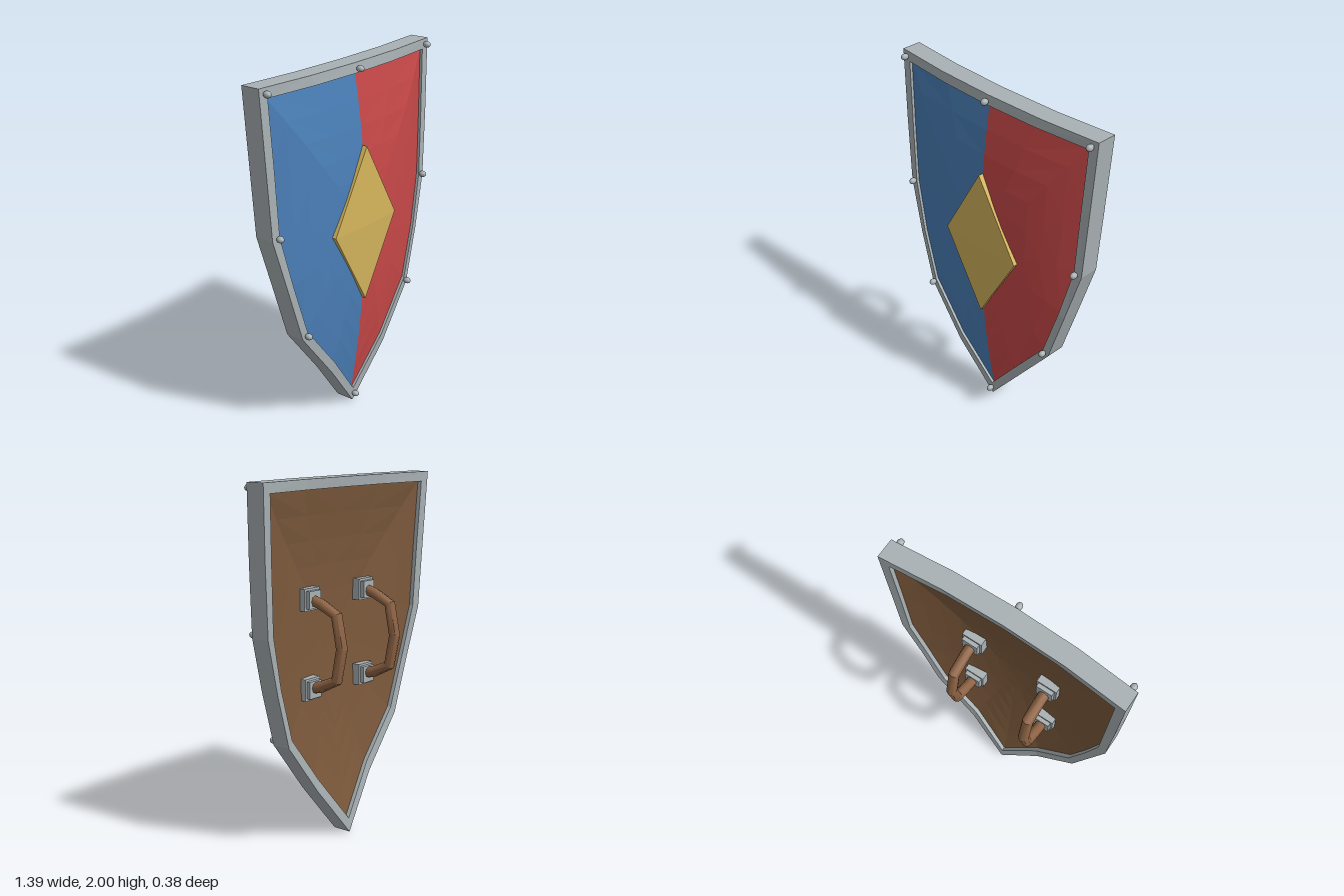
import * as THREE from 'three';
import { toCreasedNormals } from 'three/addons/utils/BufferGeometryUtils.js';

const mat = (name, color) => Object.assign(new THREE.MeshStandardMaterial({ color }), { name });

// Right half of the outline, top centre to tip: outer x, outer y, inner x, inner y, mid-depth z
const OUTLINE = [
  [0, 2, 0, 1.945, 0.045],
  [0.35, 2, 0.32, 1.945, 0.036],
  [0.695, 2, 0.64, 1.945, 0.006],
  [0.675, 1.6, 0.622, 1.58, 0.02],
  [0.652, 1.215, 0.605, 1.225, 0.03],
  [0.565, 0.91, 0.53, 0.93, 0.05],
  [0.47, 0.6, 0.437, 0.635, 0.061],
  [0.235, 0.3, 0.218, 0.36, 0.067],
  [0, 0, 0, 0.08, 0.028],
];
const HALF_DEPTH = 0.055;
const CENTRE_Y = 1.12;

// Flat-shaded skin over rows of points
function skin(rows, flip = false) {
  const pos = [];
  for (let i = 0; i + 1 < rows.length; i++) {
    for (let j = 0; j + 1 < rows[i].length; j++) {
      const a = rows[i][j], b = rows[i + 1][j], c = rows[i + 1][j + 1], d = rows[i][j + 1];
      const tris = flip ? [a, c, b, a, d, c] : [a, b, c, a, c, d];
      tris.forEach((p) => pos.push(...p));
    }
  }
  const geo = new THREE.BufferGeometry();
  geo.setAttribute('position', new THREE.Float32BufferAttribute(pos, 3));
  geo.computeVertexNormals();
  return geo;
}

// Domed half board spreading from the centre to the inner outline
function dome(side, edgeOffset, centreZ, facesBack) {
  const steps = 6;
  const rows = OUTLINE.map(([, , x, y, z]) => {
    const row = [];
    for (let k = 0; k <= steps; k++) {
      const t = k / steps, edge = z + edgeOffset;
      row.push([side * x * t, CENTRE_Y + (y - CENTRE_Y) * t, edge + (centreZ - edge) * (1 - t * t)]);
    }
    return row;
  });
  return skin(rows, (side < 0) !== facesBack);
}

// Polyline with mitred corners for the grips
class Polyline extends THREE.Curve {
  constructor(points) { super(); this.points = points; }
  getUtoTmapping(u) { return u; }
  getPoint(t, target = new THREE.Vector3()) {
    const n = this.points.length - 1, i = Math.min(Math.floor(t * n), n - 1);
    return target.lerpVectors(this.points[i], this.points[i + 1], t * n - i);
  }
}

export function createModel() {
  const model = new THREE.Group();
  model.name = 'shield';
  const steel = mat('steel grey', 0xa9b1b4);
  const blue = mat('blue paint', 0x4a7fb8);
  const red = mat('red paint', 0xc84848);
  const gold = mat('gold', 0xd4b45c);
  const wood = mat('brown wood', 0x7d5a3c);
  const leather = mat('brown leather', 0x8f6445);

  const add = (name, geo, material, x = 0, y = 0, z = 0, parent = model) => {
    const mesh = new THREE.Mesh(geo, material);
    mesh.name = name;
    mesh.position.set(x, y, z);
    parent.add(mesh);
    return mesh;
  };

  // Rim: rectangular section swept round the outline
  const section = (s) => ([ox, oy, ix, iy, z]) => {
    const h = HALF_DEPTH, zi = z + 0.006;
    const of = [s * ox, oy, z + h];
    return [of, [s * ox, oy, z - h], [s * ix, iy, zi - h], [s * ix, iy, zi + h], of];
  };
  const loop = [...OUTLINE.map(section(1)), ...OUTLINE.slice(0, -1).reverse().map(section(-1))];
  add('rim', skin(loop), steel);

  // Painted front halves and wooden back
  add('leftFrontPanel', dome(1, 0.045, 0.165, false), red);
  add('rightFrontPanel', dome(-1, 0.045, 0.165, false), blue);
  add('leftBackBoard', dome(1, -0.025, 0.1, true), wood);
  add('rightBackBoard', dome(-1, -0.025, 0.1, true), wood);

  // Diamond boss with a low pyramid face
  const profile = [[0, 0.135], [1, 0.135], [1, 0.172], [0, 0.187]].map((p) => new THREE.Vector2(...p));
  const diamond = new THREE.LatheGeometry(profile, 4);
  diamond.rotateX(Math.PI / 2);
  diamond.scale(0.26, 0.44, 1);
  add('diamondBoss', toCreasedNormals(diamond, 0.01), gold, 0, 1.125, 0);

  // Rivets
  const rivet = new THREE.SphereGeometry(0.018, 12, 8);
  rivet.scale(1, 1, 1.25);
  add('topRivet', rivet, steel, 0, 1.97, 0.125);
  add('tipRivet', rivet, steel, 0, 0.05, 0.105);
  for (const s of [1, -1]) {
    for (const [x, y, z] of [[0.66, 1.97, 0.083], [0.62, 1.225, 0.108], [0.447, 0.618, 0.138]]) {
      add('sideRivet', rivet, steel, s * x, y, z);
    }
  }

  // Grips with stepped mounting pads
  const path = [[1.365, 0.06], [1.345, -0.02], [1.295, -0.125], [1.12, -0.16],
    [0.945, -0.125], [0.895, -0.02], [0.875, 0.06]].map(([y, z]) => new THREE.Vector3(0, y, z));
  const grip = toCreasedNormals(new THREE.TubeGeometry(new Polyline(path), path.length - 1, 0.031, 8), 0.8);
  for (const s of [1, -1]) {
    const handle = new THREE.Group();
    handle.name = s > 0 ? 'leftHandle' : 'rightHandle';
    handle.position.x = s * 0.233;
    model.add(handle);
    add('grip', grip, leather, 0, 0, 0, handle);
    for (const y of [1.365, 0.875]) {
      add('padBase', new THREE.BoxGeometry(0.12, 0.12, 0.06), steel, 0, y, 0.073, handle);
      add('padStep', new THREE.BoxGeometry(0.095, 0.095, 0.03), steel, 0, y, 0.035, handle);
    }
  }
  return model;
}
